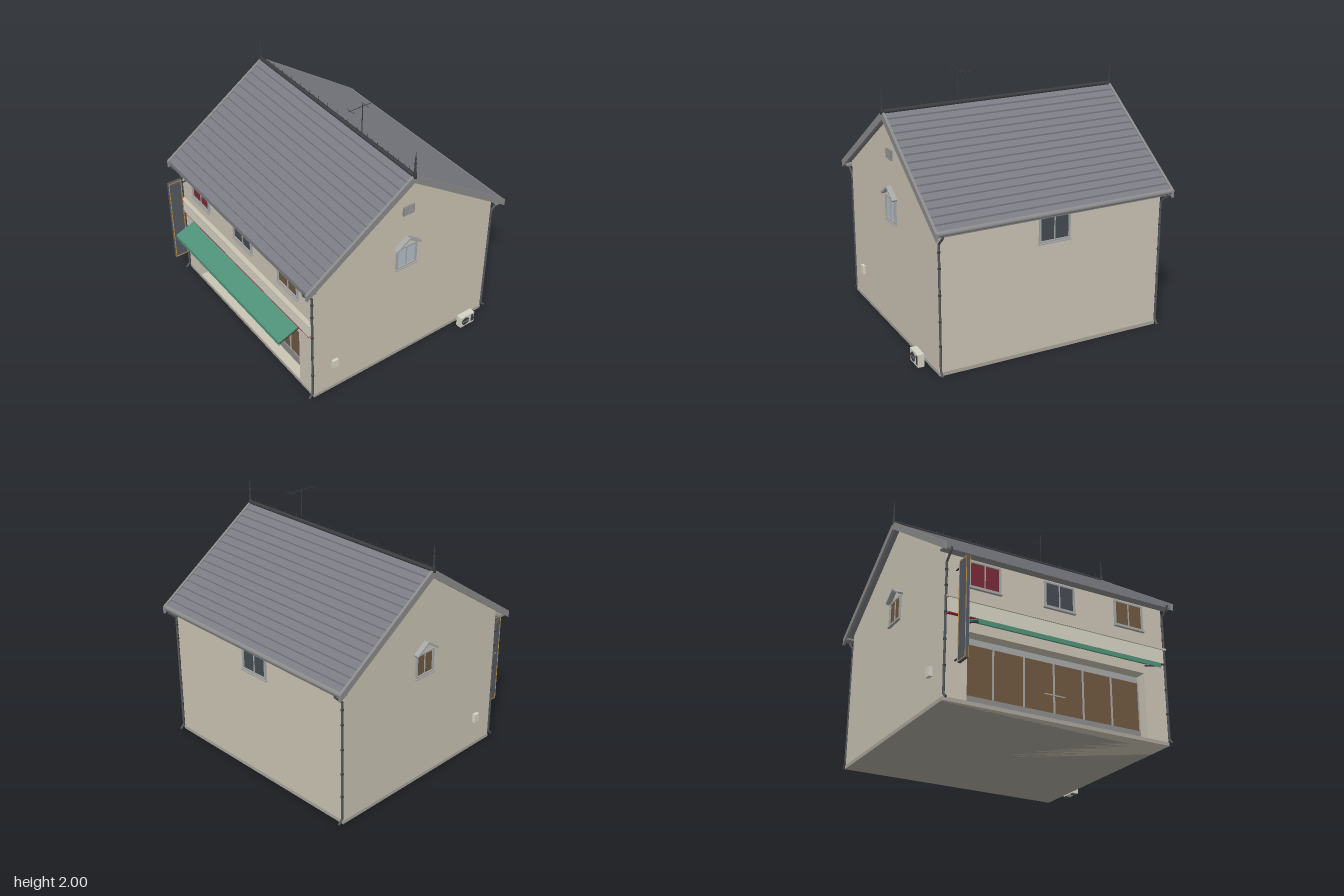
import * as THREE from 'three';

const WALL = 0xcbc4b4, CREAM = 0xd6d3c4, ROOF = 0x7b7c83, TRIM = 0x8b8b8c, DARK = 0x3c3e42,
  FRAME = 0xa6a8a8, GLASS = 0x454b52, BROWN = 0x6e5840, GREEN = 0x4f927a;
const X0 = -0.93, X1 = 0.89, ZB = -0.87, ZF = 0.78;   // outer walls
const RX0 = -0.99, RX1 = 0.945, RZ = -0.045;          // roof ends and ridge line
const SLOPE = 0.685, HALF = 0.905, RIDGE = 1.74;
const MIDX = (X0 + X1) / 2;

const mats = {};
const mat = (c) => (mats[c] ??= new THREE.MeshStandardMaterial({ color: c, side: THREE.DoubleSide }));

function add(parent, name, geo, color) {
  const m = new THREE.Mesh(geo, mat(color));
  m.name = name;
  parent.add(m);
  return m;
}

// Box given by its limits on each axis
function box(parent, name, color, x0, x1, y0, y1, z0, z1) {
  const m = add(parent, name, new THREE.BoxGeometry(x1 - x0, y1 - y0, z1 - z0), color);
  m.position.set((x0 + x1) / 2, (y0 + y1) / 2, (z0 + z1) / 2);
  return m;
}

// Outline in (z, y), extruded along x
function extrudeX(parent, name, color, pts, x0, x1) {
  const shape = new THREE.Shape(pts.map(([z, y]) => new THREE.Vector2(z, y)));
  const geo = new THREE.ExtrudeGeometry(shape, { depth: x1 - x0, bevelEnabled: false });
  geo.rotateY(-Math.PI / 2).translate(x1, 0, 0);
  return add(parent, name, geo, color);
}

// Straight rod between two points
function rod(parent, name, color, a, b, r, sides = 6) {
  const p = new THREE.Vector3(...a), q = new THREE.Vector3(...b);
  const m = add(parent, name, new THREE.CylinderGeometry(r, r, p.distanceTo(q), sides), color);
  m.position.copy(p).add(q).multiplyScalar(0.5);
  m.quaternion.setFromUnitVectors(new THREE.Vector3(0, 1, 0), q.sub(p).normalize());
  return m;
}

// Two-pane window facing +z, placed on a wall
function windowUnit(parent, name, w, h, color, pos, turn = 0, hood = false) {
  const g = new THREE.Group();
  g.name = name;
  const t = 0.014;
  box(g, 'glass', color, -w / 2 + t, w / 2 - t, -h / 2 + t, h / 2 - t, 0, 0.004);
  for (const s of [-1, 1]) {
    box(g, 'jamb', FRAME, s * (w / 2 - t / 2) - t / 2, s * (w / 2 - t / 2) + t / 2, -h / 2, h / 2, -0.005, 0.014);
    box(g, 'rail', FRAME, -w / 2 + t, w / 2 - t, s * (h / 2 - t / 2) - t / 2, s * (h / 2 - t / 2) + t / 2, -0.005, 0.014);
  }
  box(g, 'mullion', FRAME, -0.004, 0.004, -h / 2 + t, h / 2 - t, 0, 0.01);
  box(g, 'sill', FRAME, -w / 2 - 0.006, w / 2 + 0.006, -h / 2 - 0.01, -h / 2, -0.005, 0.022);
  if (hood) {
    for (const s of [-1, 1]) {
      const m = box(g, 'hood', FRAME, -0.068, 0.068, -0.007, 0.007, -0.005, 0.04);
      m.position.set(s * 0.055, h / 2 + 0.042, 0.0175);
      m.rotation.z = -s * 0.6;
    }
  }
  g.position.set(...pos);
  g.rotation.y = turn;
  parent.add(g);
}

function buildRoof(g) {
  // Stepped courses of tiles over both slopes
  const rows = 16, step = HALF / rows, front = [], back = [];
  for (let i = 0; i < rows; i++) {
    const a = i * step, b = a + step;
    const top = [[a, RIDGE - 0.012 - a * SLOPE], [b, RIDGE - b * SLOPE]];
    for (const [d, y] of top) {
      front.push([RZ + d, y]);
      back.push([RZ - d, y]);
    }
  }
  const eave = RIDGE - HALF * SLOPE - 0.04;
  const outline = [...front, [RZ + HALF, eave], [RZ, RIDGE - 0.055], [RZ - HALF, eave], ...back.reverse().slice(0, -1)];
  extrudeX(g, 'tiledRoof', ROOF, outline, RX0 + 0.004, RX1 - 0.004);
  for (const s of [-1, 1]) {
    // Bargeboards along both gables
    const board = [[RZ, RIDGE + 0.003], [RZ + s * (HALF + 0.01), RIDGE - 0.004 - HALF * SLOPE],
      [RZ + s * (HALF + 0.01), RIDGE - 0.06 - HALF * SLOPE], [RZ, RIDGE - 0.062]];
    extrudeX(g, 'bargeboard', TRIM, board, RX0, RX0 + 0.02);
    extrudeX(g, 'bargeboard', TRIM, board, RX1 - 0.02, RX1);
    // Soffit and gutter
    const z = RZ + s * 0.865;
    box(g, 'soffit', TRIM, RX0 + 0.01, RX1 - 0.01, 1.085, 1.1, z - 0.04, z + 0.025);
    box(g, 'eaveBoard', TRIM, RX0 + 0.01, RX1 - 0.01, 1.09, 1.125, z + s * 0.02 - 0.006, z + s * 0.02 + 0.006);
    const gutter = add(g, 'gutter', new THREE.CylinderGeometry(0.02, 0.02, RX1 - RX0, 10, 1, false, 0, Math.PI), TRIM);
    gutter.rotation.z = -Math.PI / 2;
    gutter.rotation.order = 'XYZ';
    gutter.rotation.x = Math.PI / 2;
    gutter.position.set((RX0 + RX1) / 2, 1.105, z + s * 0.03);
  }
  // Ridge cap, cresting and end finials
  rod(g, 'ridgeCap', DARK, [RX0, RIDGE - 0.003, RZ], [RX1, RIDGE - 0.003, RZ], 0.016, 8);
  for (let i = 0; i < 31; i++) {
    const h = i % 2 ? 0.03 : 0.048;
    const c = add(g, 'ridgeSpike', new THREE.ConeGeometry(0.005, h, 5), DARK);
    c.position.set(-0.92 + i * 0.06, RIDGE + 0.005 + h / 2, RZ);
  }
  const profile = [[0, -0.02], [0.015, -0.02], [0.015, 0.015], [0.009, 0.03], [0.006, 0.09], [0.012, 0.1],
    [0.005, 0.11], [0.005, 0.13], [0.009, 0.14], [0.004, 0.15], [0, 0.21]].map((p) => new THREE.Vector2(...p));
  for (const x of [RX0 + 0.006, RX1 - 0.006]) {
    add(g, 'finial', new THREE.LatheGeometry(profile, 8), DARK).position.set(x, RIDGE, RZ);
  }
}

function buildShopFront(g) {
  box(g, 'doorBacking', FRAME, -0.755, 0.705, 0.03, 0.53, 0.68, 0.686);
  box(g, 'stallRiser', TRIM, -0.755, 0.705, 0.03, 0.105, 0.686, 0.7);
  for (let i = 0; i < 7; i++) {
    const x = -0.755 + i * 0.2433;
    if (i < 6) box(g, 'doorPanel', BROWN, x + 0.005, x + 0.238, 0.108, 0.48, 0.686, 0.692);
    box(g, 'doorMullion', FRAME, x - 0.005, x + 0.005, 0.105, 0.49, 0.686, 0.702);
  }
  box(g, 'doorHandle', FRAME, -0.11, 0.06, 0.23, 0.238, 0.705, 0.713);
  // Fascia with cornice and red line
  box(g, 'fascia', CREAM, -0.915, 0.868, 0.63, 0.74, ZF, 0.808);
  box(g, 'cornice', WALL, X0, X1, 0.74, 0.753, ZF, 0.818);
  box(g, 'redLine', 0xa8283c, -0.915, 0.868, 0.624, 0.63, ZF, 0.81);
  // Sloping awning with valance and arms
  extrudeX(g, 'awning', GREEN, [[0.785, 0.612], [0.965, 0.545], [0.965, 0.512], [0.96, 0.512], [0.96, 0.539], [0.785, 0.602]], -0.77, 0.72);
  for (const x of [-0.763, 0.713]) {
    rod(g, 'awningArm', DARK, [x, 0.59, 0.785], [x, 0.528, 0.958], 0.006);
  }
}

export function createModel() {
  const g = new THREE.Group();
  g.name = 'shopHouse';

  // Gabled body, with a front slab pierced for the recessed shop front
  const under = (z) => RIDGE - 0.05 - Math.abs(z - RZ) * SLOPE;
  extrudeX(g, 'houseBody', WALL, [[ZB, 0], [0.68, 0], [0.68, under(0.68)], [RZ, under(RZ)], [ZB, under(ZB)]], X0, X1);
  const rect = (T, x0, x1, y0, y1) => new T([[x0, y0], [x1, y0], [x1, y1], [x0, y1]].map((p) => new THREE.Vector2(...p)));
  const front = rect(THREE.Shape, X0, X1, 0, under(ZF));
  front.holes.push(rect(THREE.Path, -0.755, 0.705, 0.03, 0.53));
  add(g, 'frontWall', new THREE.ExtrudeGeometry(front, { depth: ZF - 0.68, bevelEnabled: false }), WALL).position.z = 0.68;
  extrudeX(g, 'gableInfill', WALL, [[0.68, under(ZF)], [ZF, under(ZF)], [0.68, under(0.68)]], X0, X1);
  box(g, 'plinth', 0xaaa69c, X0 - 0.004, X1 + 0.004, 0, 0.028, ZB - 0.004, ZF + 0.004);

  buildRoof(g);
  buildShopFront(g);

  // Windows
  [[-0.63, 0x7a2a38], [MIDX, GLASS], [0.583, BROWN]].forEach(([x, c]) =>
    windowUnit(g, 'frontWindow', 0.255, 0.205, c, [x, 0.968, ZF]));
  windowUnit(g, 'backWindow', 0.255, 0.205, GLASS, [MIDX, 0.968, ZB], Math.PI);
  windowUnit(g, 'rightSideWindow', 0.19, 0.19, 0xb3bec8, [X1, 0.99, RZ], Math.PI / 2, true);
  windowUnit(g, 'leftSideWindow', 0.19, 0.19, BROWN, [X0, 0.99, RZ], -Math.PI / 2, true);

  // Gable vent with louvres
  box(g, 'vent', TRIM, X1, X1 + 0.012, 1.375, 1.45, RZ - 0.05, RZ + 0.05);
  for (let i = 0; i < 5; i++) {
    box(g, 'ventSlat', TRIM, X1 + 0.01, X1 + 0.018, 1.382 + i * 0.014, 1.388 + i * 0.014, RZ - 0.045, RZ + 0.045);
  }

  // Meter boxes on both sides
  box(g, 'meterBox', CREAM, X1, X1 + 0.022, 0.225, 0.295, 0.57, 0.62);
  box(g, 'meterBox', CREAM, X0 - 0.028, X0, 0.225, 0.295, 0.57, 0.62);

  // Outdoor cooling unit
  box(g, 'coolingUnit', CREAM, 0.943, 0.993, 0.017, 0.117, -0.715, -0.575);
  const fan = add(g, 'fan', new THREE.CylinderGeometry(0.036, 0.036, 0.004, 20), DARK);
  fan.rotation.z = Math.PI / 2;
  fan.position.set(0.994, 0.066, -0.625);
  box(g, 'fanBar', TRIM, 0.995, 0.998, 0.063, 0.069, -0.66, -0.59);
  box(g, 'unitGrille', DARK, 0.99, 0.996, 0.035, 0.103, -0.708, -0.682);
  for (const z of [-0.695, -0.6]) box(g, 'unitFoot', DARK, 0.943, 0.993, 0.006, 0.017, z - 0.008, z + 0.008);

  // Projecting sign with border and brackets
  box(g, 'signPanel', 0x555962, -0.858, -0.836, 0.255, 1.01, 0.84, 0.955);
  for (const x of [-0.859, -0.835]) {
    for (const z of [0.845, 0.95]) box(g, 'signBorder', 0xc9983f, x - 0.0015, x + 0.0015, 0.26, 1.005, z - 0.003, z + 0.003);
    for (const y of [0.262, 1.003]) box(g, 'signBorder', 0xc9983f, x - 0.0015, x + 0.0015, y - 0.003, y + 0.003, 0.845, 0.95);
  }
  for (const y of [0.295, 0.97]) rod(g, 'signBracket', DARK, [-0.847, y, ZF], [-0.847, y, 0.84], 0.006);

  // Downpipes at the four corners, with clips
  for (const x of [X0, X1]) {
    for (const [wall, s] of [[ZF, 1], [ZB, -1]]) {
      const at = (y, d) => [x, y, wall + s * d];
      const path = [at(1.095, 0.085), at(1.075, 0.08), at(1.01, 0.012), at(0.045, 0.012), at(0.012, 0.045)];
      for (let i = 0; i < 4; i++) rod(g, 'downpipe', 0x55575a, path[i], path[i + 1], 0.009, 8);
      for (const y of [0.24, 0.43, 0.63, 0.83, 0.95]) rod(g, 'pipeClip', DARK, at(y - 0.006, 0.012), at(y + 0.006, 0.012), 0.012, 8);
    }
  }

  // Aerial on the roof
  const ax = 0.34;
  rod(g, 'aerialMast', DARK, [ax, 1.71, RZ], [ax, 2, RZ], 0.004);
  rod(g, 'aerialBoom', DARK, [ax, 1.985, -0.17], [ax, 1.985, 0.08], 0.0025);
  for (const [z, w] of [[-0.165, 0.045], [-0.135, 0.045], [-0.07, 0.04], [0.06, 0.042]]) {
    rod(g, 'aerialElement', DARK, [ax - w, 1.985, z], [ax + w, 1.985, z], 0.002);
  }
  return g;
}
